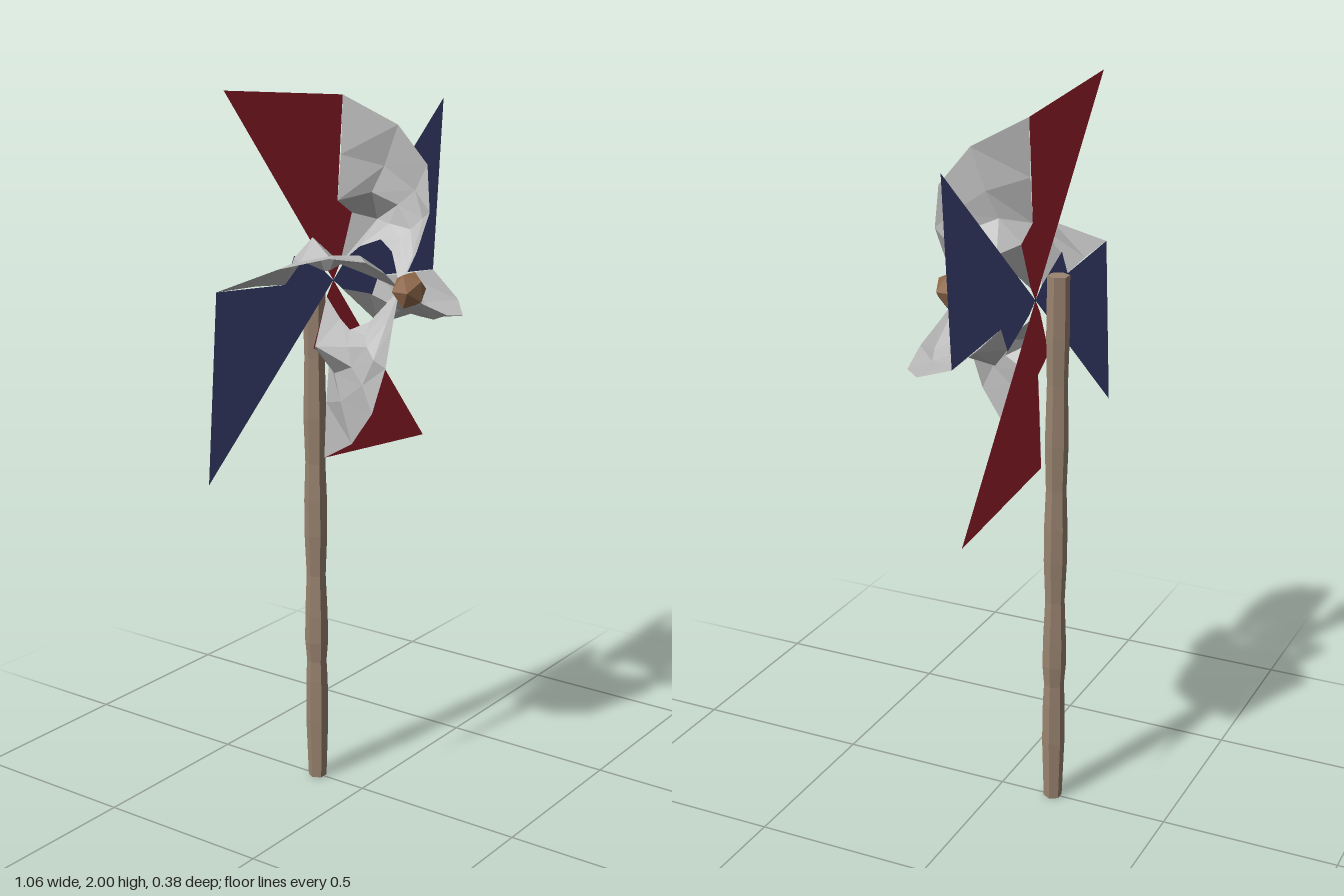
import * as THREE from 'three';

const paint = (name, color, side = THREE.FrontSide) => {
  const m = new THREE.MeshStandardMaterial({ color, side, flatShading: true });
  m.name = name;
  return m;
};

// Curled paper flap: each row runs from the outer edge to the cut edge
const flapRows = [
  [[0.045, 0.485, -0.095], [0.035, 0.33, -0.095], [0.02, 0.21, -0.095], [0.085, 0.17, -0.095], [0.03, 0.04, -0.095]],
  [[0.105, 0.41, 0.04], [0.1, 0.3, 0], [0.085, 0.23, -0.03], [0.14, 0.15, -0.05], [0.045, 0.09, -0.04]],
  [[0.125, 0.31, 0.12], [0.12, 0.24, 0.085], [0.105, 0.2, 0.04], [0.095, 0.15, 0.02], [0.07, 0.11, 0.01]],
  [[0.1, 0.19, 0.145], [0.112, 0.17, 0.115], [0.1, 0.14, 0.085], [0.08, 0.115, 0.065], [0.05, 0.085, 0.06]],
  [[0.055, 0.09, 0.135], [0.06, 0.08, 0.12], [0.05, 0.07, 0.105], [0.04, 0.06, 0.095], [0.03, 0.05, 0.085]],
  Array(5).fill([0, 0, 0.12]),
];

function loft(rows) {
  const n = rows[0].length;
  const index = [];
  for (let r = 0; r < rows.length - 1; r++) {
    for (let c = 0; c < n - 1; c++) {
      const a = r * n + c, b = a + 1, d = a + n, e = d + 1;
      index.push(a, d, b);
      if (r < rows.length - 2) index.push(b, d, e);
    }
  }
  const g = new THREE.BufferGeometry();
  g.setAttribute('position', new THREE.Float32BufferAttribute(rows.flat(2), 3));
  g.setIndex(index);
  const flat = g.toNonIndexed();
  flat.computeVertexNormals();
  return flat;
}

export function createModel() {
  const model = new THREE.Group();
  model.name = 'pinwheel';
  const red = paint('red paper', 0xa3212f, THREE.DoubleSide);
  const blue = paint('blue paper', 0x444a80, THREE.DoubleSide);
  const grey = paint('pale grey paper', 0xbcbcbc, THREE.DoubleSide);
  const wood = paint('stick wood', 0x9a8470);
  const brown = paint('pin brown', 0x91694a);

  const add = (parent, name, geometry, material) => {
    const mesh = new THREE.Mesh(geometry, material);
    mesh.name = name;
    parent.add(mesh);
    return mesh;
  };

  // Whittled six-sided stick
  const profile = [
    [0, 0], [0.026, 0], [0.032, 0.18], [0.031, 0.3], [0.028, 0.36], [0.033, 0.42], [0.032, 0.5],
    [0.027, 0.62], [0.032, 0.74], [0.032, 0.84], [0.028, 0.95], [0.032, 1.08], [0.028, 1.25],
    [0.031, 1.38], [0.03, 1.545], [0, 1.545],
  ].map(([x, y]) => new THREE.Vector2(x, y));
  const stick = add(model, 'stick', new THREE.LatheGeometry(profile, 6), wood);
  stick.rotation.y = Math.PI / 6;
  stick.position.z = -0.16;

  // Four blades, each a flat panel and a curled flap
  const panelShape = new THREE.Shape([
    [0, 0], [0.03, 0.04], [0.09, 0.17], [0.02, 0.21], [0.045, 0.485], [-0.44, 0.53],
  ].map(([x, y]) => new THREE.Vector2(x, y)));
  const panel = new THREE.ShapeGeometry(panelShape);
  panel.translate(0, 0, -0.095);
  const flap = loft(flapRows);
  const wheel = new THREE.Group();
  wheel.name = 'wheel';
  wheel.position.y = 1.47;
  model.add(wheel);
  for (let i = 0; i < 4; i++) {
    const blade = new THREE.Group();
    blade.name = 'blade';
    blade.rotation.z = -i * Math.PI / 2;
    wheel.add(blade);
    add(blade, 'bladePanel', panel, i % 2 ? blue : red);
    add(blade, 'curledFlap', flap, grey);
  }

  // Faceted pin head
  const pin = add(wheel, 'pinHead', new THREE.IcosahedronGeometry(0.052, 0), brown);
  pin.scale.z = 0.87;
  pin.position.z = 0.149;

  return model;
}
